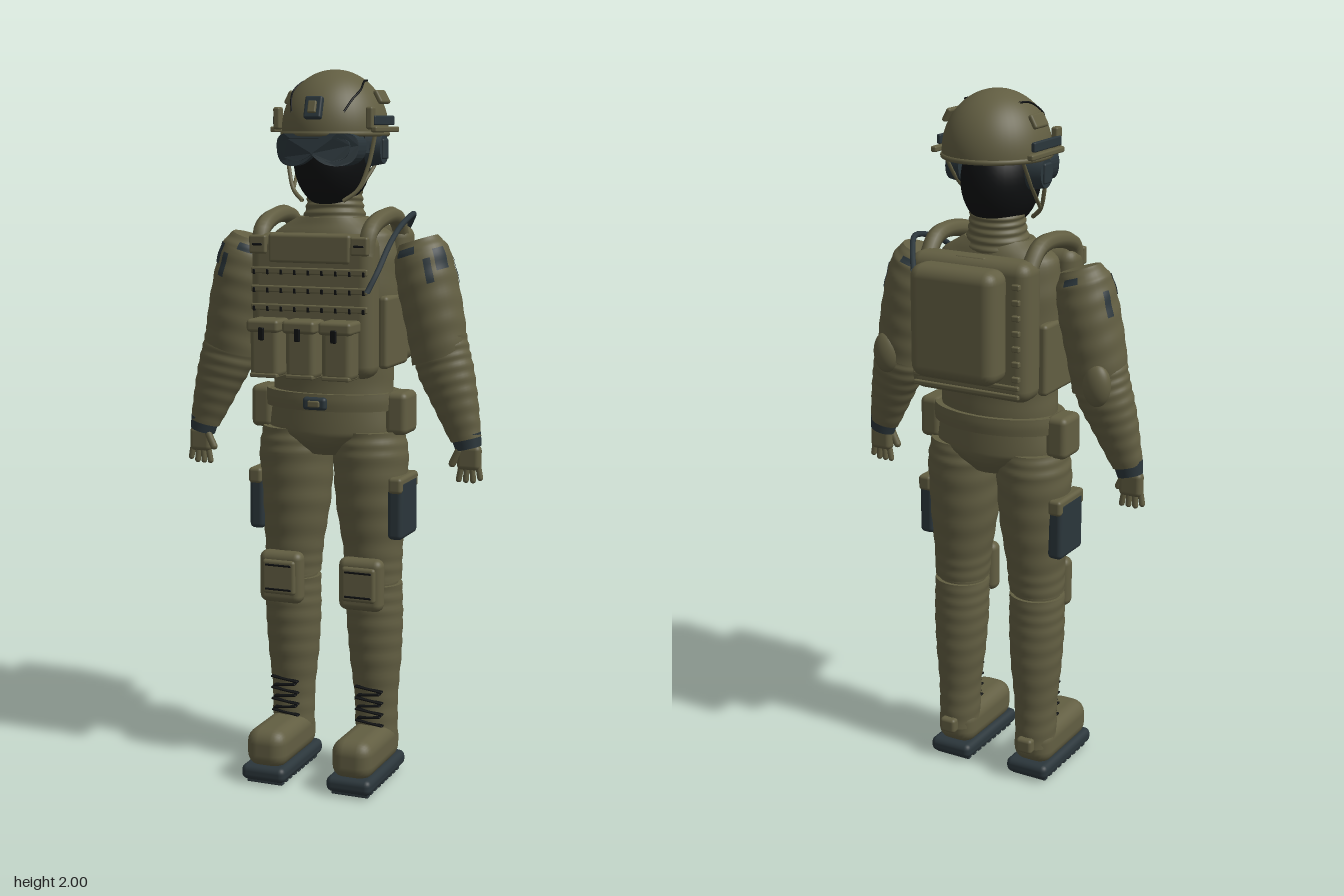
import * as THREE from 'three';
import { RoundedBoxGeometry } from 'three/addons/geometries/RoundedBoxGeometry.js';

const mat = (name, color) => {
  const m = new THREE.MeshStandardMaterial({ color, side: THREE.DoubleSide });
  m.name = name;
  return m;
};
const V = (x, y, z) => new THREE.Vector3(x, y, z);

// Smooth skin over elliptical rings [x, y, z, rx, rz], listed from top to bottom
function loft(rings, { t0 = 0, t1 = 1, a0 = 0, a1 = Math.PI * 2, grow = 0, tilt = 0, ripple = 0, waves = 40, n = 48, m = 36 } = {}) {
  const mid = new THREE.CatmullRomCurve3(rings.map(r => V(r[0], r[1], r[2])));
  const rad = new THREE.CatmullRomCurve3(rings.map(r => V(r[3], r[4], 0)));
  const full = a1 - a0 > 6.28, pos = [], idx = [], cols = full ? m : m + 1;
  const at = (i, j) => {
    const t = t0 + (t1 - t0) * i / n, a = a0 + (a1 - a0) * j / m;
    const c = mid.getPoint(t), r = rad.getPoint(t);
    const k = 1 + ripple * Math.sin(waves * t + 2 * Math.sin(a) + Math.cos(a));
    const x = Math.cos(a) * (r.x * k + grow);
    return [c.x + x * Math.cos(tilt), c.y + x * Math.sin(tilt), c.z + Math.sin(a) * (r.y * k + grow)];
  };
  for (let i = 0; i <= n; i++) for (let j = 0; j < cols; j++) pos.push(...at(i, j));
  for (let i = 0; i < n; i++) for (let j = 0; j < m; j++) {
    const k = (j + 1) % cols, A = i * cols + j, B = i * cols + k;
    idx.push(A, B, B + cols, A, B + cols, A + cols);
  }
  if (full) for (const i of [0, n]) {
    const base = pos.length / 3, c = mid.getPoint(i ? t1 : t0);
    pos.push(c.x, c.y, c.z);
    for (let j = 0; j < m; j++) pos.push(...at(i, j));
    for (let j = 0; j < m; j++) {
      const p = base + 1 + j, q = base + 1 + (j + 1) % m;
      idx.push(base, ...(i ? [p, q] : [q, p]));
    }
  }
  const g = new THREE.BufferGeometry();
  g.setAttribute('position', new THREE.Float32BufferAttribute(pos, 3));
  g.setIndex(idx);
  g.computeVertexNormals();
  return g;
}

export function createModel() {
  const olive = mat('olive cloth', 0x625e42);
  const slate = mat('slate gear', 0x2b363b);
  const black = mat('black', 0x0e1011);
  const root = new THREE.Group();
  root.name = 'soldier';

  const add = (name, geo, m, x = 0, y = 0, z = 0) => {
    const mesh = new THREE.Mesh(geo, m);
    mesh.name = name;
    mesh.position.set(x, y, z);
    root.add(mesh);
    return mesh;
  };
  const box = (name, m, w, h, d, x, y, z, r = 0.01) =>
    add(name, new RoundedBoxGeometry(w, h, d, 3, Math.min(r, w / 2.1, h / 2.1, d / 2.1)), m, x, y, z);
  const ball = (name, m, rx, ry, rz, x, y, z) => {
    const b = add(name, new THREE.SphereGeometry(1, 36, 24), m, x, y, z);
    b.scale.set(rx, ry, rz);
    return b;
  };
  const tube = (name, m, r, pts) =>
    add(name, new THREE.TubeGeometry(new THREE.CatmullRomCurve3(pts.map(p => V(...p))), 28, r, 8), m);

  // Torso, neck and pelvis
  add('torso', loft([[0, 1.6, 0, .1, .08], [0, 1.55, 0, .175, .1], [0, 1.45, 0, .188, .115], [0, 1.3, 0, .185, .12],
    [0, 1.17, 0, .175, .115], [0, 1.06, 0, .18, .115]], { ripple: .006 }), olive);
  add('neck', loft([[0, 1.69, -.01, .075, .07], [0, 1.63, -.01, .08, .075], [0, 1.56, -.005, .1, .09]], { ripple: .025 }), olive);
  add('pelvis', loft([[0, 1.08, 0, .18, .115], [0, 1.01, 0, .19, .117], [0, .98, 0, .15, .11], [0, .94, 0, .08, .08]]), olive);

  // Belt
  add('belt', loft([[0, 1.118, 0, .198, .128], [0, 1.095, 0, .2, .13], [0, 1.07, 0, .198, .128]], { n: 6 }), olive);
  box('buckle', slate, .07, .036, .022, 0, 1.093, .137);
  box('buckleCentre', olive, .035, .018, .012, 0, 1.093, .147, .004);

  // Front vest with webbing rows
  box('frontPlate', olive, .36, .39, .09, 0, 1.365, .133, .035);
  box('chestPanel', olive, .24, .08, .02, 0, 1.52, .172);
  for (const y of [1.46, 1.41, 1.36]) {
    box('webbing', olive, .34, .018, .012, 0, y, .18, .004);
    for (let i = -4; i <= 4; i++) box('webbingStitch', black, .008, .014, .006, i * .04, y - .004, .184, .002);
  }

  // Magazine pouches
  for (const x of [-.105, 0, .105]) {
    box('pouch', olive, .088, .16, .07, x, 1.252, .212, .018);
    box('pouchFlap', olive, .094, .035, .085, x, 1.315, .217, .01);
    box('pouchClip', black, .016, .035, .008, x, 1.295, .262, .003);
    box('pouchBase', olive, .08, .012, .076, x, 1.18, .213, .004);
  }

  // Back plate and backpack
  box('backPlate', olive, .37, .385, .1, 0, 1.38, -.132, .035);
  box('backpack', olive, .264, .31, .1, 0, 1.405, -.222, .035);
  for (const y of [1.21, 1.235]) box('backWebbing', olive, .33, .013, .012, 0, y, -.184, .004);
  for (const s of [-1, 1]) for (let i = 0; i < 7; i++)
    box('packLoop', olive, .024, .016, .014, s * .155, 1.26 + i * .042, -.184, .004);
  box('packHandle', olive, .09, .012, .02, 0, 1.567, -.15, .005);
  tube('drinkHose', slate, .008, [[.12, 1.54, -.25], [.16, 1.58, -.19], [.19, 1.605, -.13], [.197, 1.575, 0], [.195, 1.53, .08], [.19, 1.46, .16], [.175, 1.41, .195]]);

  // Head, dome helmet and its fittings
  ball('head', black, .104, .135, .125, 0, 1.755, .008);
  const helmet = { rx: .146, ry: .162, rz: .157, y: 1.838, z: -.012 };
  const dome = add('helmet', new THREE.SphereGeometry(1, 48, 24, 0, Math.PI * 2, 0, Math.PI * .53), olive, 0, helmet.y, helmet.z);
  dome.scale.set(helmet.rx, helmet.ry, helmet.rz);
  const rim = add('helmetRim', new THREE.TorusGeometry(1, .035, 8, 48), olive, 0, 1.826, helmet.z);
  rim.rotation.x = Math.PI / 2;
  rim.scale.set(.145, .156, .2);
  const onDome = (x, z) => [x, helmet.y + helmet.ry * Math.sqrt(Math.max(0, 1 - (x / helmet.rx) ** 2 - ((z - helmet.z) / helmet.rz) ** 2)) + .002, z];
  box('shroud', slate, .05, .062, .02, 0, 1.895, .142, .006).rotation.x = -.3;
  box('shroudCentre', olive, .024, .034, .012, 0, 1.897, .153, .004).rotation.x = -.3;

  // Goggles with a nose notch, wrapped round the face
  const lensShape = (w, top, bottom) => {
    const s = new THREE.Shape();
    s.moveTo(-w, .01);
    s.quadraticCurveTo(-w, top, -w * .7, top);
    for (let i = 1; i < 10; i++) s.lineTo(-w * .7 + w * .14 * i, top);
    s.lineTo(w * .7, top);
    s.quadraticCurveTo(w, top, w, .01);
    s.quadraticCurveTo(w, -bottom, w * .55, -bottom);
    s.quadraticCurveTo(w * .22, -bottom, 0, -bottom * .35);
    s.quadraticCurveTo(-w * .22, -bottom, -w * .55, -bottom);
    s.quadraticCurveTo(-w, -bottom, -w, .01);
    return s;
  };
  const wrap = (shape, depth) => {
    const g = new THREE.ExtrudeGeometry(shape, { depth, bevelEnabled: false, curveSegments: 8 }), p = g.attributes.position;
    for (let i = 0; i < p.count; i++) p.setZ(i, p.getZ(i) - 2.6 * p.getX(i) ** 2);
    g.computeVertexNormals();
    return g;
  };
  add('goggleFrame', wrap(lensShape(.12, .042, .045), .06), slate, 0, 1.785, .095);
  add('goggleLens', wrap(lensShape(.1, .028, .032), .004), slate, 0, 1.785, .154);
  add('goggleStrap', loft([[0, 1.805, 0, .122, .13], [0, 1.775, 0, .122, .13]], { a0: -.2, a1: Math.PI + .2, n: 2 }), slate);

  for (const s of [-1, 1]) {
    const side = s > 0 ? 'left' : 'right';
    const name = part => side + part;
    // Mirror an angular range on a limb
    const arc = (a, b) => s > 0 ? { a0: a, a1: b } : { a0: Math.PI - b, a1: Math.PI - a };

    // Helmet side fittings, headset and chin strap
    box(name('Rail'), slate, .012, .026, .15, s * .145, 1.862, -.002, .004);
    box(name('RailFoot'), olive, .018, .016, .18, s * .148, 1.838, -.01, .005);
    box(name('SidePad'), olive, .014, .04, .07, s * .132, 1.925, -.025, .006).rotation.z = s * .5;
    box(name('FrontClip'), olive, .02, .06, .03, s * .136, 1.868, .07, .006);
    tube(name('HelmetCord'), black, .003, [-.04, 0, .05, .085, .115].map((z, i) => onDome(s * [.083, .09, .098, .09, .076][i], z)));
    const cup = add(name('EarCup'), new THREE.CylinderGeometry(.04, .048, .045, 24), slate, s * .125, 1.785, -.005);
    cup.rotation.z = -s * Math.PI / 2;
    cup.scale.z = .85;
    box(name('EarCupCap'), slate, .012, .055, .04, s * .148, 1.785, -.005, .005);
    tube(name('ChinStrap'), olive, .006, [[s * .135, 1.83, .03], [s * .118, 1.74, .04], [s * .095, 1.675, .06], [s * .06, 1.645, .08]]);
    tube(name('RearStrap'), olive, .005, [[s * .12, 1.83, -.09], [s * .115, 1.75, -.03], [s * .098, 1.68, .05]]);

    // Shoulder strap and its adjuster
    tube(name('ShoulderStrap'), olive, .024, [[s * .155, 1.5, .155], [s * .158, 1.565, .135], [s * .16, 1.6, .04], [s * .16, 1.595, -.07], [s * .157, 1.53, -.13]]);
    box(name('StrapAdjuster'), olive, .05, .05, .02, s * .148, 1.53, .18, .006);
    box(name('AdjusterSlot'), black, .03, .006, .006, s * .148, 1.53, .189, .002);
    box(name('SidePanel'), olive, .03, .2, .17, s * .178, 1.29, 0, .012);

    // Arm with dark cloth patches
    const upper = [[s * .25, 1.54, 0, .056, .05], [s * .26, 1.5, 0, .078, .075], [s * .278, 1.42, 0, .084, .086], [s * .3, 1.32, 0, .083, .082], [s * .316, 1.22, 0, .08, .072]];
    add(name('UpperArm'), loft(upper, { tilt: s * .3, ripple: .012 }), olive);
    const patches = [[.22, .42, .35, .85], [.3, .5, 1.0, 1.25], [.1, .22, 1.5, 2.3], [.12, .22, -1.9, -1.3], [.35, .55, -.5, -.25]];
    for (const [t0, t1, a, b] of patches)
      add(name('SleevePatch'), loft(upper, { t0, t1, ...arc(a, b), tilt: s * .3, ripple: .012, grow: .002, n: 8, m: 8 }), slate);
    add(name('Forearm'), loft([[s * .312, 1.27, 0, .078, .068], [s * .328, 1.2, 0, .079, .068], [s * .36, 1.11, .006, .066, .055], [s * .397, 1.0, .013, .044, .034]],
      { tilt: s * .25, ripple: .018, waves: 50 }), olive);
    ball(name('ElbowPad'), olive, .04, .06, .03, s * .335, 1.24, -.062);
    add(name('WristBand'), loft([[s * .397, 1.012, .013, .043, .034], [s * .405, .975, .014, .037, .031]], { tilt: s * .25, n: 4 }), slate);

    // Hand
    box(name('Palm'), olive, .068, .07, .034, s * .408, .95, .016, .014);
    for (let i = 0; i < 4; i++) {
      const f = add(name('Finger'), new THREE.CapsuleGeometry(.0085, .042, 4, 10), olive, s * (.383 + i * .018), .908 + (i === 3 ? .008 : 0), .018);
      f.rotation.z = s * (i - 1.5) * .12;
    }
    add(name('Thumb'), new THREE.CapsuleGeometry(.0105, .04, 4, 10), olive, s * .372, .95, .028).rotation.z = -s * .45;

    // Hip and thigh pouches
    box(name('HipPouch'), olive, .065, .12, .1, s * .203, 1.062, 0, .018);
    box(name('ThighPouch'), slate, .045, .17, .135, s * .21, .795, .005, .014);
    box(name('ThighPouchFlap'), olive, .04, .045, .148, s * .212, .865, .005, .01);

    // Leg
    add(name('Thigh'), loft([[s * .112, 1.01, 0, .095, .1], [s * .113, .94, 0, .106, .108], [s * .115, .8, 0, .1, .1], [s * .121, .66, 0, .084, .084], [s * .124, .582, 0, .08, .078]],
      { ripple: .012, waves: 50 }), olive);
    add(name('Shin'), loft([[s * .125, .57, 0, .08, .077], [s * .126, .48, -.002, .081, .078], [s * .127, .36, -.006, .075, .074], [s * .129, .22, -.01, .062, .062], [s * .13, .1, -.01, .06, .062]],
      { ripple: .014, waves: 60 }), olive);
    ball(name('KneeJoint'), olive, .07, .05, .066, s * .124, .576, 0);
    box(name('KneePad'), olive, .13, .15, .05, s * .121, .582, .09, .022);
    box(name('KneeCap'), olive, .1, .1, .02, s * .121, .585, .113, .01);
    for (const y of [.55, .62]) box(name('KneeSlot'), black, .08, .006, .006, s * .121, y, .122, .002);

    // Boot
    box(name('Boot'), olive, .122, .115, .275, s * .13, .1, .077, .042);
    box(name('HeelTab'), olive, .05, .045, .03, s * .13, .115, -.075, .01);
    box(name('Sole'), slate, .134, .045, .3, s * .13, .0325, .073, .018);
    for (let i = 0; i < 9; i++) box(name('SoleLug'), slate, .11, .014, .018, s * .13, .007, -.045 + i * .03, .003);
    for (let i = 0; i < 7; i++)
      box(name('Lace'), black, .085 - (i % 2) * .015, .006, .016, s * .13, .165 + i * .017, .05 + i * .001, .003).rotation.z = (i % 2 ? .12 : -.12);
  }
  return root;
}
